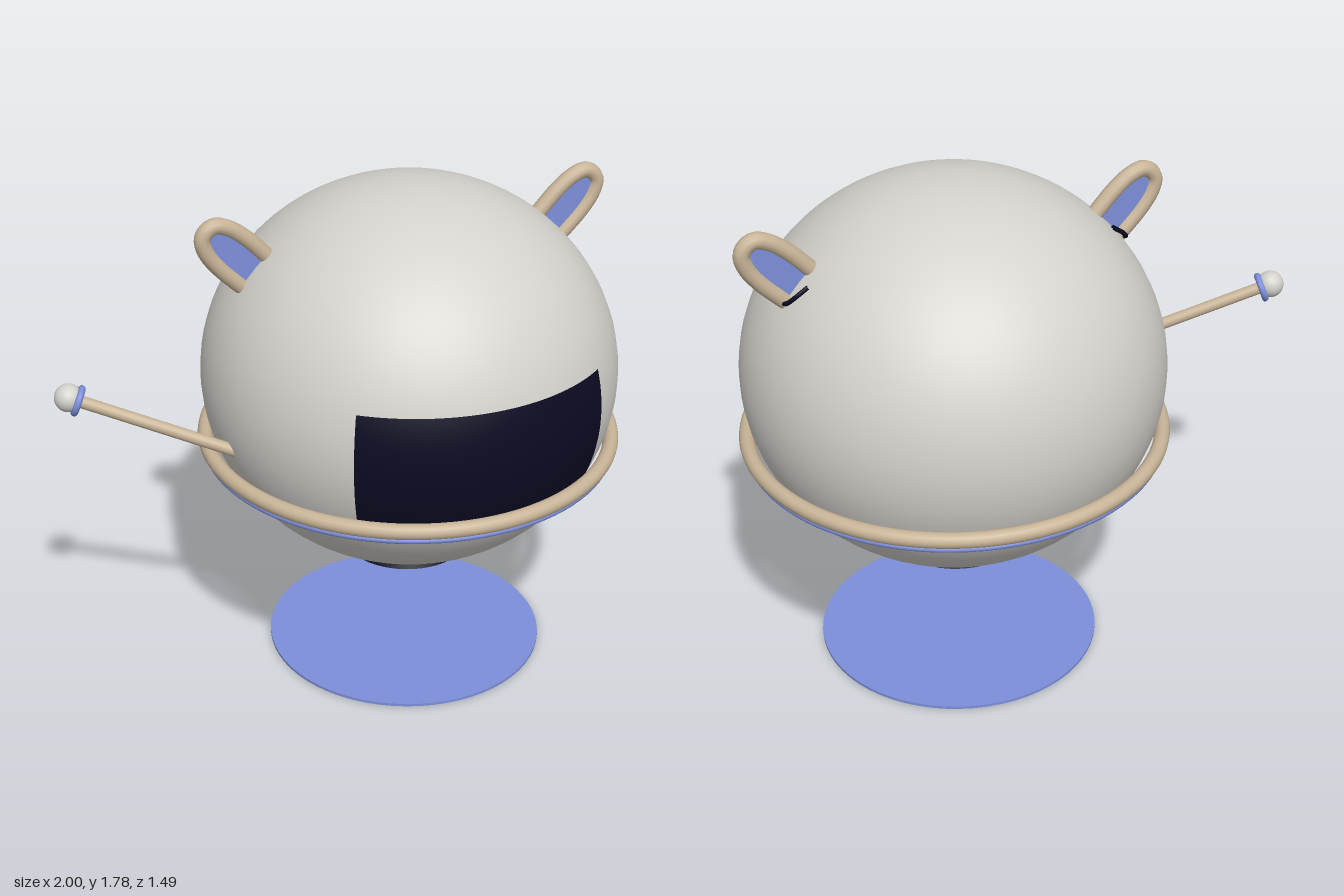
import * as THREE from 'three';

const mat = (name, color, side = THREE.FrontSide) =>
  Object.assign(new THREE.MeshStandardMaterial({ color, side }), { name });

export function createModel() {
  const shell = mat('shell grey', 0xd4d2cc);
  const tan = mat('tan trim', 0xc8b497);
  const blue = mat('periwinkle blue', 0x7c8fda);
  const dark = mat('dark navy', 0x0b0a22, THREE.DoubleSide);

  const model = new THREE.Group();
  model.name = 'hoveringRobot';
  const CX = 0.246, CY = 1.1, SQUASH = 0.937;

  const add = (name, geometry, material, x = 0, y = 0, z = 0, parent = model) => {
    const m = new THREE.Mesh(geometry, material);
    m.name = name;
    m.position.set(x, y, z);
    parent.add(m);
    return m;
  };

  // Squashed round body
  add('body', new THREE.SphereGeometry(0.726, 64, 48), shell, CX, CY).scale.y = SQUASH;

  // Visor: curved patch just proud of the body
  const visor = new THREE.SphereGeometry(0.734, 40, 16, Math.PI / 2 - 0.649, 1.298, 1.316, 0.61);
  add('visor', visor, dark, CX, CY).scale.y = SQUASH;

  // Belt rings
  add('beltRing', new THREE.TorusGeometry(0.717, 0.027, 16, 96), tan, CX, 0.862).rotation.x = Math.PI / 2;
  add('beltAccent', new THREE.TorusGeometry(0.717, 0.012, 10, 96), blue, CX, 0.829).rotation.x = Math.PI / 2;

  // Flared nozzle under the body and floating base disc
  add('nozzle', new THREE.CylinderGeometry(0.203, 0.226, 0.045, 48), dark, CX, 0.4225);
  add('baseDisc', new THREE.CylinderGeometry(0.5, 0.5, 0.01, 64), blue, CX, 0.005);

  // Ears: arched rim around a flat inner panel, roots buried in the body
  const half = [[0.064, -0.1], [0.066, -0.03], [0.066, 0.05], [0.055, 0.12], [0.031, 0.164]];
  const arch = [
    ...half.map(([u, v]) => new THREE.Vector3(-u, v, 0)),
    new THREE.Vector3(0, 0.174, 0),
    ...half.slice().reverse().map(([u, v]) => new THREE.Vector3(u, v, 0)),
  ];
  const rimCurve = new THREE.CatmullRomCurve3(arch);
  const rimGeo = new THREE.TubeGeometry(rimCurve, 48, 0.028, 12);
  const panelShape = new THREE.Shape(rimCurve.getPoints(40).map(p => new THREE.Vector2(p.x, p.y)));
  const panelGeo = new THREE.ExtrudeGeometry(panelShape, { depth: 0.02, bevelEnabled: false });
  panelGeo.translate(0, 0, -0.01);

  for (const side of [-1, 1]) {
    const label = side > 0 ? 'left' : 'right';
    const ear = new THREE.Group();
    ear.name = label + 'Ear';
    ear.position.set(CX + side * 0.586, 1.575, -0.045);
    ear.rotation.z = -side * 0.768;
    model.add(ear);
    add(label + 'EarRim', rimGeo, tan, 0, 0, 0, ear);
    add(label + 'EarPanel', panelGeo, blue, 0, 0, 0, ear);

    // Dark crescent hinge behind the ear root
    const hinge = new THREE.CatmullRomCurve3([
      [0.603, 1.488, -0.065], [0.598, 1.5, -0.09], [0.575, 1.525, -0.108], [0.535, 1.553, -0.112],
    ].map(([x, y, z]) => new THREE.Vector3(CX + side * x, y, z)));
    add(label + 'EarHinge', new THREE.TubeGeometry(hinge, 16, 0.008, 8), dark);
  }

  // Side antenna: rod, collar and ball tip
  const tip = new THREE.Vector3(-0.952, 1.178, -0.063);
  const root = new THREE.Vector3(-0.36, 0.935, 0.155);
  const dir = root.clone().sub(tip);
  const length = dir.length();
  dir.normalize();
  const mid = tip.clone().add(root).multiplyScalar(0.5);
  const rod = add('antennaRod', new THREE.CylinderGeometry(0.021, 0.021, length, 20), tan, mid.x, mid.y, mid.z);
  rod.quaternion.setFromUnitVectors(new THREE.Vector3(0, 1, 0), dir);
  const c = tip.clone().addScaledVector(dir, 0.033);
  const collar = add('antennaCollar', new THREE.TorusGeometry(0.042, 0.012, 10, 32), blue, c.x, c.y, c.z);
  collar.quaternion.setFromUnitVectors(new THREE.Vector3(0, 0, 1), dir);
  add('antennaBall', new THREE.SphereGeometry(0.048, 24, 16), shell, tip.x, tip.y, tip.z);

  return model;
}
